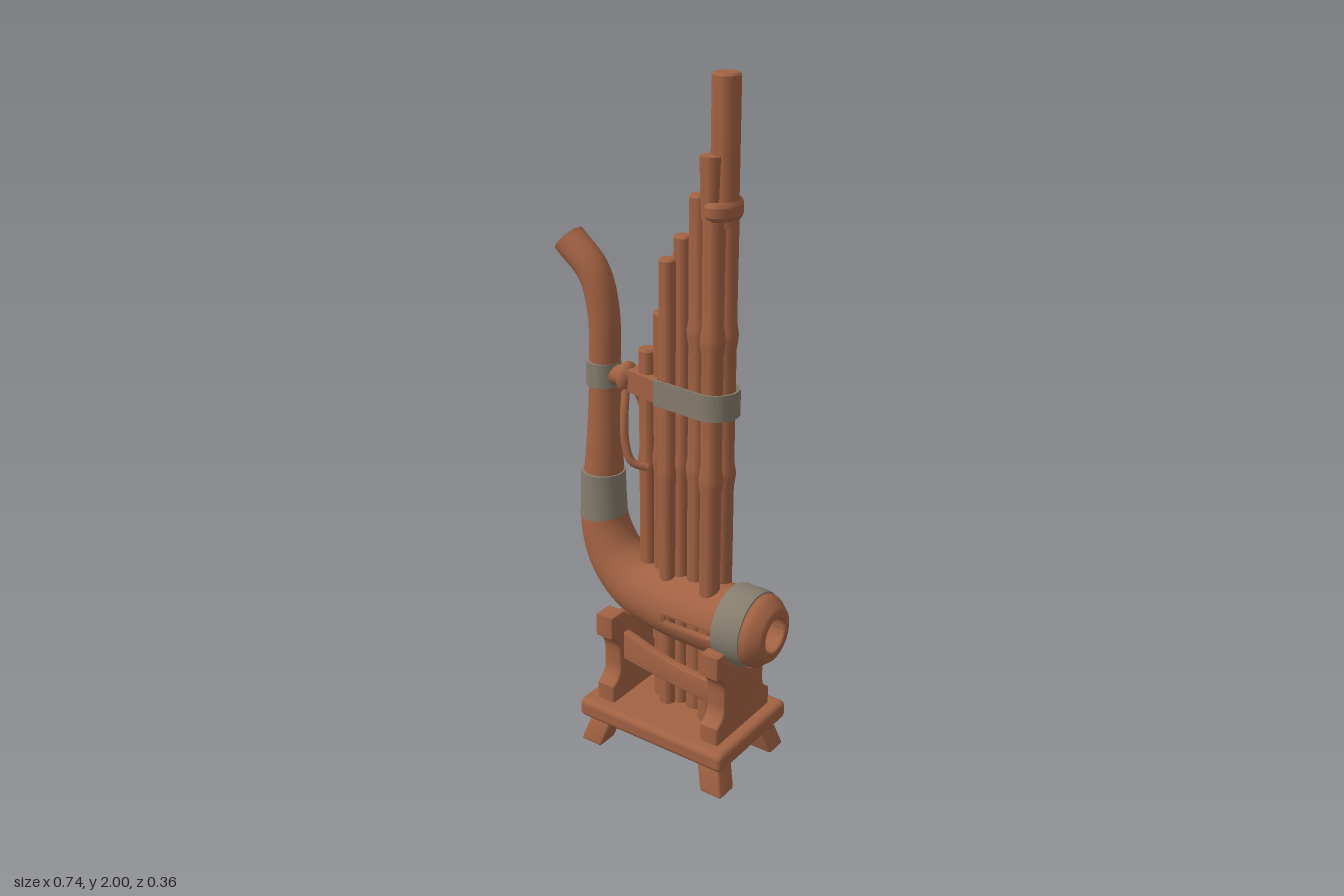
import * as THREE from 'three';
import { toCreasedNormals } from 'three/addons/utils/BufferGeometryUtils.js';
import { RoundedBoxGeometry } from 'three/addons/geometries/RoundedBoxGeometry.js';

const wood = new THREE.MeshStandardMaterial({ color: 0xa26243, side: THREE.DoubleSide });
wood.name = 'reddish wood';
const metal = new THREE.MeshStandardMaterial({ color: 0x857c6d, side: THREE.DoubleSide });
metal.name = 'dull grey metal';

export function createModel() {
  const model = new THREE.Group();
  model.name = 'mouthOrganOnStand';

  const add = (name, geometry, material = wood, x = 0, y = 0, z = 0) => {
    const mesh = new THREE.Mesh(geometry, material);
    mesh.name = name;
    mesh.position.set(x, y, z);
    model.add(mesh);
    return mesh;
  };
  const lathe = (profile, sides = 32) => toCreasedNormals(
    new THREE.LatheGeometry(profile.map(([r, y]) => new THREE.Vector2(r, y)), sides), 0.6);
  const extrude = (shape, depth, bevel = 0) => toCreasedNormals(new THREE.ExtrudeGeometry(shape, {
    depth: depth - 2 * bevel, curveSegments: 20, bevelEnabled: bevel > 0,
    bevelSize: bevel, bevelThickness: bevel, bevelSegments: 3, bevelOffset: -bevel,
  }).translate(0, 0, bevel), 0.6);

  // Curved wind chamber: each path point is (x, y, radius)
  const path = new THREE.CatmullRomCurve3([
    [-0.335, 1.505, 0.047], [-0.25, 1.425, 0.046], [-0.218, 1.32, 0.045], [-0.218, 1.1, 0.045],
    [-0.222, 0.92, 0.053], [-0.229, 0.76, 0.063], [-0.222, 0.655, 0.073], [-0.18, 0.565, 0.083],
    [-0.105, 0.505, 0.093], [0, 0.482, 0.1], [0.1, 0.477, 0.104], [0.32, 0.48, 0.107],
  ].map((p) => new THREE.Vector3(...p)));
  const rows = 160, sides = 72, positions = [], index = [], rowX = [];
  for (let i = 0; i <= rows; i++) {
    const p = path.getPoint(i / rows), t = path.getTangent(i / rows);
    const len = Math.hypot(t.x, t.y), nx = -t.y / len, ny = t.x / len;
    rowX.push(p.x);
    for (let j = 0; j < sides; j++) {
      const a = (j / sides) * Math.PI * 2, c = Math.cos(a) * p.z;
      positions.push(p.x + nx * c, p.y + ny * c, Math.sin(a) * p.z);
    }
  }
  for (let i = 0; i < rows; i++) {
    for (let j = 0; j < sides; j++) {
      // Leave a long sound slot open on both flanks
      const side = Math.abs(Math.sin(((j + 0.5) / sides) * Math.PI * 2));
      if (rowX[i] > 0.055 && rowX[i + 1] < 0.225 && side > Math.cos(0.17)) continue;
      const k = (j + 1) % sides, a = i * sides, b = a + sides;
      index.push(a + j, a + k, b + j, a + k, b + k, b + j);
    }
  }
  const chamber = new THREE.BufferGeometry();
  chamber.setAttribute('position', new THREE.Float32BufferAttribute(positions, 3));
  chamber.setIndex(index);
  chamber.computeVertexNormals();
  add('windChamber', chamber);
  add('mouthpieceEnd', new THREE.CircleGeometry(0.047, 32), wood, -0.335, 1.505, 0)
    .quaternion.setFromUnitVectors(new THREE.Vector3(0, 0, 1), new THREE.Vector3(-0.73, 0.68, 0).normalize());

  // Rims of the sound slots
  const stadium = (target, h) => {
    target.absarc(0.212, 0, h, -Math.PI / 2, Math.PI / 2);
    target.absarc(0.068, 0, h, Math.PI / 2, Math.PI * 1.5);
    target.closePath();
    return target;
  };
  const rim = stadium(new THREE.Shape(), 0.021);
  rim.holes.push(stadium(new THREE.Path(), 0.014));
  for (const z of [0.087, -0.106]) add('slotRim', extrude(rim, 0.019), wood, 0, 0.479, z);

  // Chamber mouth: grey collar and bored end cap
  const alongX = (g) => g.rotateZ(-Math.PI / 2);
  add('endCollar', alongX(lathe([[0.106, 0.225], [0.111, 0.226], [0.114, 0.24], [0.114, 0.3],
    [0.111, 0.315], [0.1, 0.316]], 48)), metal, 0, 0.483, 0);
  add('endCap', alongX(lathe([[0.105, 0.31], [0.106, 0.33], [0.1, 0.342], [0.08, 0.366], [0.073, 0.37],
    [0.053, 0.37], [0.05, 0.366], [0.05, 0.25]], 48)), wood, 0, 0.483, 0);

  // Grey sleeves on the blowing tube
  add('lowerSleeve', lathe([[0.06, 0.69], [0.07, 0.691], [0.067, 0.76], [0.065, 0.834], [0.055, 0.835]]),
    metal, -0.229, 0, 0);
  add('upperSleeve', lathe([[0.04, 1.1], [0.05, 1.102], [0.05, 1.173], [0.04, 1.175]]), metal, -0.221, 0, 0);

  // Bamboo pipes: x, z, radius, top, bottom, node heights
  const pipes = [
    [-0.066, 0, 0.026, 1.24, 0.5, [0.9]],
    [-0.018, 0, 0.024, 1.355, 0.15, [0.92]],
    [0.022, -0.029, 0.024, 1.515, 0.15, [0.9]],
    [0.022, 0.029, 0.024, 1.515, 0.15, [0.9]],
    [0.05, 0, 0.025, 1.575, 0.15, [0.92]],
    [0.102, 0, 0.028, 1.69, 0.15, [0.92, 1.32]],
    [0.168, -0.031, 0.03, 1.68, 0.15, [0.915, 1.315]],
    [0.168, 0.031, 0.03, 1.68, 0.15, [0.915, 1.315]],
    [0.178, 0, 0.037, 2, 1.62, []],
  ];
  for (const [x, z, r, top, bottom, nodes] of pipes) {
    const profile = [[0, bottom], [r, bottom]];
    for (const y of nodes) profile.push([r * 0.97, y - 0.04], [r * 1.13, y - 0.008], [r * 1.13, y + 0.008], [r * 0.97, y + 0.04]);
    profile.push([r, top - 0.006], [r - 0.005, top], [0, top]);
    add('pipe', lathe(profile, 24), wood, x, 0, z);
  }

  // Flared tips and binding ring of the tall pair
  for (const z of [-0.031, 0.031]) {
    add('flaredTip', lathe([[0.025, 1.64], [0.028, 1.7], [0.031, 1.8], [0, 1.803]], 24), wood, 0.158, 0, z);
  }
  add('bindingRing', lathe([[0, -0.024], [0.9, -0.024], [1, -0.012], [1, 0.012], [0.9, 0.024], [0, 0.024]]),
    wood, 0.174, 1.662, 0).scale.set(0.046, 1, 0.065);

  // Grey strap wrapped round the pipes
  const strap = new THREE.Shape();
  strap.moveTo(-0.01, -0.052);
  strap.lineTo(0.145, -0.067);
  strap.absarc(0.158, 0, 0.068, -Math.PI / 2, Math.PI / 2);
  strap.lineTo(-0.01, 0.052);
  strap.lineTo(-0.01, 0.045);
  strap.lineTo(0.145, 0.061);
  strap.absarc(0.158, 0, 0.062, Math.PI / 2, -Math.PI / 2, true);
  strap.lineTo(-0.01, -0.045);
  strap.closePath();
  const flat = (shape, depth) => extrude(shape, depth).rotateX(Math.PI / 2);
  add('pipeStrap', flat(strap, 0.075), metal, 0, 1.175, 0);

  // Wooden bridge from the strap to the blowing tube
  const bridge = new THREE.Shape([[-0.13, -0.022], [-0.01, -0.049], [-0.01, 0.049], [-0.13, 0.022]]
    .map((p) => new THREE.Vector2(...p)));
  add('strapBridge', flat(bridge, 0.064), wood, 0, 1.17, 0);
  add('bridgeKnob', new THREE.SphereGeometry(1, 24, 16), wood, -0.137, 1.137, 0).scale.set(0.027, 0.048, 0.04);
  add('bridgeNeck', alongX(new THREE.CylinderGeometry(0.03, 0.03, 0.06, 20)), wood, -0.16, 1.138, 0);
  for (const s of [-1, 1]) {
    const strut = new THREE.CatmullRomCurve3([[-0.128, 1.11, 0.02], [-0.117, 1.05, 0.042], [-0.106, 0.96, 0.053],
      [-0.085, 0.91, 0.05], [-0.05, 0.895, 0.025]].map(([x, y, z]) => new THREE.Vector3(x, y, z * s)));
    add('curvedStrut', new THREE.TubeGeometry(strut, 24, 0.012, 10), wood);
  }

  // Stand: base board and splayed feet
  add('baseBoard', new RoundedBoxGeometry(0.51, 0.06, 0.356, 4, 0.018), wood, 0.056, 0.121, 0);
  for (const sx of [-1, 1]) {
    for (const sz of [-1, 1]) {
      const foot = new RoundedBoxGeometry(0.074, 0.11, 0.07, 2, 0.008);
      const p = foot.attributes.position;
      for (let i = 0; i < p.count; i++) {
        const drop = 0.055 - p.getY(i);
        p.setX(i, p.getX(i) + sx * drop * 0.3);
        p.setZ(i, p.getZ(i) + sz * drop * 0.25);
      }
      foot.computeVertexNormals();
      add('foot', toCreasedNormals(foot.toNonIndexed(), 0.6), wood, 0.054 + sx * 0.185, 0.055, sz * 0.107);
    }
  }

  // Waisted end boards with a saddle for the chamber
  const endBoard = (cy, r) => {
    const s = new THREE.Shape(), a = Math.asin((0.44 - cy) / r);
    s.moveTo(-0.138, 0.145);
    s.lineTo(0.138, 0.145);
    s.lineTo(0.138, 0.205);
    s.bezierCurveTo(0.1, 0.225, 0.1, 0.25, 0.102, 0.285);
    s.bezierCurveTo(0.1, 0.33, 0.108, 0.35, 0.141, 0.37);
    s.lineTo(0.141, 0.44);
    s.absarc(0, cy, r, a, -Math.PI - a, true);
    s.lineTo(-0.141, 0.44);
    s.lineTo(-0.141, 0.37);
    s.bezierCurveTo(-0.108, 0.35, -0.1, 0.33, -0.102, 0.285);
    s.bezierCurveTo(-0.1, 0.25, -0.1, 0.225, -0.138, 0.205);
    s.closePath();
    return extrude(s, 0.06, 0.006).rotateY(Math.PI / 2);
  };
  add('leftEndBoard', endBoard(0.475, 0.108), wood, 0.212, 0, 0);
  add('rightEndBoard', endBoard(0.5, 0.1), wood, -0.157, 0, 0);

  // Shaped rails between the end boards
  const rail = new THREE.Shape();
  rail.moveTo(-0.11, 0.278);
  rail.quadraticCurveTo(0.06, 0.255, 0.22, 0.24);
  rail.lineTo(0.22, 0.315);
  rail.bezierCurveTo(0.1, 0.315, 0.03, 0.33, -0.06, 0.36);
  rail.lineTo(-0.11, 0.372);
  rail.closePath();
  for (const z of [0.06, -0.085]) add('rail', extrude(rail, 0.025, 0.004), wood, 0, 0, z);

  return model;
}
